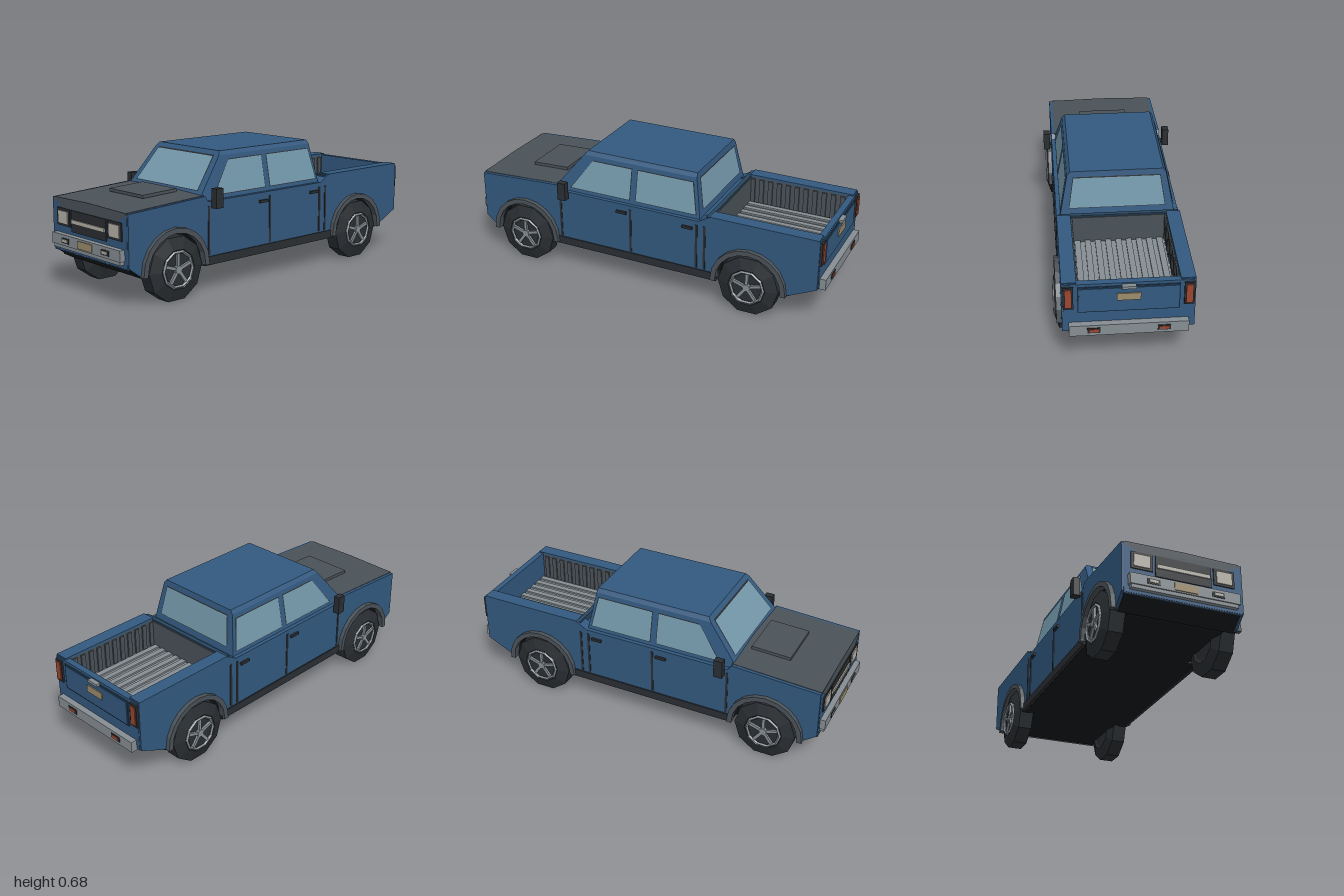
import * as THREE from 'three';

const BLUE = 0x33597f, DARKBLUE = 0x29455f, GREY = 0x4a5258, DARK = 0x2a2e32, BLACK = 0x17191b;
const METAL = 0x868e93, GLASS = 0x7499ab, LAMP = 0xb5b2a8, TAN = 0x9c8c6c, RED = 0x9c4630;
const AXLES = [0.695, -0.605], AXLE_Y = 0.155;

export function createModel() {
  const model = new THREE.Group();
  const mats = {};
  const mat = (color) => (mats[color] ??= new THREE.MeshStandardMaterial({ color, flatShading: true, side: THREE.DoubleSide }));
  const add = (name, color, geo, parent = model) => {
    const mesh = new THREE.Mesh(geo, mat(color));
    mesh.name = name;
    parent.add(mesh);
    return mesh;
  };

  // Box given by its extents; pair() places one on each side
  const box = (name, color, x0, x1, y0, y1, z0, z1) => {
    const g = new THREE.BoxGeometry(x1 - x0, y1 - y0, z1 - z0);
    g.translate((x0 + x1) / 2, (y0 + y1) / 2, (z0 + z1) / 2);
    return add(name, color, g);
  };
  const pair = (name, color, x0, x1, ...rest) => {
    box(name + 'Left', color, x0, x1, ...rest);
    box(name + 'Right', color, -x1, -x0, ...rest);
  };

  // Side profile (z, y) extruded across x
  const across = (shape, x0, x1) => {
    const g = new THREE.ExtrudeGeometry(shape, { depth: x1 - x0, bevelEnabled: false, curveSegments: 5 });
    return g.rotateY(-Math.PI / 2).translate(x1, 0, 0);
  };
  const acrossPair = (name, color, shape, x0, x1) => {
    add(name + 'Left', color, across(shape, x0, x1));
    add(name + 'Right', color, across(shape, -x1, -x0));
  };
  const poly = (pts) => new THREE.Shape(pts.map((p) => new THREE.Vector2(...p)));

  // Solid through matching cross-section loops, with end caps
  const loft = (loops) => {
    const n = loops[0].length, idx = [], last = (loops.length - 1) * n;
    for (let k = 0; k < last; k += n) {
      for (let i = 0; i < n; i++) {
        const j = (i + 1) % n;
        idx.push(k + i, k + j, k + n + j, k + i, k + n + j, k + n + i);
      }
    }
    for (let i = 1; i < n - 1; i++) idx.push(0, i + 1, i, last, last + i, last + i + 1);
    const g = new THREE.BufferGeometry();
    g.setAttribute('position', new THREE.Float32BufferAttribute(loops.flat(2), 3));
    g.setIndex(idx);
    const flat = g.toNonIndexed();
    flat.computeVertexNormals();
    return flat;
  };

  // Body sides with wheel openings
  const side = new THREE.Shape();
  side.moveTo(0.965, 0.455);
  [[0.5, 0.48], [0.48, 0.452], [-0.325, 0.452], [-0.38, 0.485], [-0.96, 0.485], [-0.96, 0.22], [-0.795, 0.14]]
    .forEach((p) => side.lineTo(...p));
  for (const z of [...AXLES].reverse()) {
    side.lineTo(z - 0.19, AXLE_Y);
    side.absarc(z, AXLE_Y, 0.19, Math.PI, 0, true);
    side.lineTo(z + 0.19, 0.14);
  }
  side.lineTo(0.965, 0.2);
  acrossPair('bodySide', BLUE, side, 0.245, 0.31);

  // Chassis core and black underside
  add('chassisCore', BLACK, across(poly([[0.95, 0.44], [-0.37, 0.44], [-0.37, 0.32], [-0.95, 0.32],
    [-0.95, 0.22], [-0.78, 0.135], [0.865, 0.135], [0.95, 0.19]]), -0.245, 0.245));
  add('frontValance', BLACK, across(poly([[0.967, 0.195], [0.88, 0.195], [0.88, 0.135]]), -0.295, 0.295));
  add('rearUnderside', BLACK, across(poly([[-0.955, 0.225], [-0.8, 0.225], [-0.8, 0.135]]), -0.3, 0.3));
  box('floorPan', BLACK, -0.3, 0.3, 0.133, 0.15, -0.415, 0.505);
  pair('sideSkirt', DARK, 0.27, 0.316, 0.135, 0.178, -0.43, 0.51);

  // Wheel arches: dark liner inside, flare outside
  const arch = (z, r0, r1) => {
    const s = new THREE.Shape();
    s.moveTo(z + r1, 0.145);
    s.lineTo(z + r1, AXLE_Y);
    s.absarc(z, AXLE_Y, r1, 0, Math.PI, false);
    s.lineTo(z - r1, 0.145);
    s.lineTo(z - r0, 0.145);
    s.lineTo(z - r0, AXLE_Y);
    s.absarc(z, AXLE_Y, r0, Math.PI, 0, true);
    s.lineTo(z + r0, 0.145);
    return s;
  };
  for (const z of AXLES) {
    acrossPair('wheelLiner', BLACK, arch(z, 0.178, 0.191), 0.245, 0.308);
    acrossPair('archFlare', GREY, arch(z, 0.176, 0.202), 0.3, 0.333);
  }

  // Cab shell: belt, shoulder and roof loops
  const sideX = (y) => 0.291 - (y - 0.45) * 0.195;
  const frontZ = (y) => 0.528 - (y - 0.45) * 0.815;
  const rearZ = (y) => -0.325 + (y - 0.45) * 0.176;
  const ring = (y, x) => [[x, y, frontZ(y)], [x, y, rearZ(y)], [-x, y, rearZ(y)], [-x, y, frontZ(y)]];
  add('cab', BLUE, loft([ring(0.445, 0.291), ring(0.66, sideX(0.66)), ring(0.68, 0.235)]));

  // Windows as thin panes lying on the cab faces
  const pane = (name, color, pts) => {
    const g = new THREE.BufferGeometry();
    g.setAttribute('position', new THREE.Float32BufferAttribute(pts.flat(), 3));
    g.setIndex([0, 1, 2, 0, 2, 3]);
    g.computeVertexNormals();
    add(name, color, g);
  };
  const endPane = (name, color, zAt, off, y0, y1, w0, w1) =>
    pane(name, color, [[-w0, y0, zAt(y0) + off], [w0, y0, zAt(y0) + off], [w1, y1, zAt(y1) + off], [-w1, y1, zAt(y1) + off]]);
  endPane('windshieldSeal', DARK, frontZ, 0.003, 0.497, 0.66, 0.246, 0.219);
  endPane('windshield', GLASS, frontZ, 0.006, 0.501, 0.654, 0.242, 0.215);
  endPane('rearWindowSeal', DARK, rearZ, -0.003, 0.487, 0.652, 0.246, 0.222);
  endPane('rearWindow', GLASS, rearZ, -0.005, 0.491, 0.647, 0.242, 0.218);
  for (const s of [1, -1]) {
    const sidePane = (name, color, off, y0, y1, a, b, c, d) => {
      const p = (y, z) => [s * (sideX(y) + off), y, z];
      const pts = [p(y0, a), p(y0, b), p(y1, c), p(y1, d)];
      pane(name, color, s > 0 ? pts : pts.reverse());
    };
    sidePane('frontWindowSeal', DARK, 0.002, 0.471, 0.639, 0.428, 0.071, 0.071, 0.299);
    sidePane('frontWindow', GLASS, 0.004, 0.475, 0.635, 0.42, 0.075, 0.075, 0.303);
    sidePane('rearSideWindowSeal', DARK, 0.002, 0.471, 0.639, 0.041, -0.306, -0.275, 0.041);
    sidePane('rearSideWindow', GLASS, 0.004, 0.475, 0.635, 0.037, -0.301, -0.27, 0.037);
  }

  // Hood with a slight centre crease, and raised scoop
  const hoodSection = (z, ySide, yMid) => [[-0.293, 0.435, z], [0.293, 0.435, z], [0.293, ySide, z], [0, yMid, z], [-0.293, ySide, z]];
  add('hood', GREY, loft([hoodSection(0.495, 0.482, 0.489), hoodSection(0.966, 0.458, 0.464)]));
  const scoop = box('hoodScoop', GREY, -0.135, 0.135, -0.008, 0.008, -0.105, 0.105);
  scoop.position.set(0, 0.489, 0.64);
  scoop.rotation.x = 0.04;

  // Front face, grille and lamps
  box('frontPanel', BLUE, -0.3, 0.3, 0.19, 0.45, 0.88, 0.966);
  pane('hoodLip', GREY, [[-0.235, 0.41, 0.968], [0.235, 0.41, 0.968], [0.293, 0.458, 0.968], [-0.293, 0.458, 0.968]]);
  box('grille', DARK, -0.143, 0.143, 0.302, 0.41, 0.95, 0.972);
  box('grilleBar', LAMP, -0.136, 0.136, 0.345, 0.365, 0.96, 0.978);
  pair('headlightHousing', DARK, 0.156, 0.265, 0.322, 0.41, 0.95, 0.972);
  pair('headlight', LAMP, 0.17, 0.252, 0.333, 0.397, 0.96, 0.977);
  box('frontBumper', METAL, -0.28, 0.28, 0.23, 0.285, 0.95, 0.994);
  box('frontBumperLip', METAL, -0.273, 0.273, 0.212, 0.232, 0.95, 0.988);
  box('frontPlate', TAN, -0.06, 0.06, 0.237, 0.275, 0.98, 0.998);
  pair('fogLampHousing', DARK, 0.133, 0.195, 0.243, 0.27, 0.98, 0.997);
  pair('fogLamp', LAMP, 0.143, 0.186, 0.25, 0.263, 0.98, 1.0);

  // Doors: seams and handles, then mirrors
  for (const z of [0.478, 0.06, -0.315, -0.36]) pair('doorSeam', DARK, 0.3, 0.313, 0.185, 0.43, z - 0.006, z + 0.006);
  for (const z of [0.11, -0.265]) pair('doorHandle', DARK, 0.3, 0.321, 0.4, 0.414, z - 0.029, z + 0.029);
  pair('mirrorArm', DARK, 0.28, 0.325, 0.425, 0.445, 0.435, 0.46);
  pair('mirror', DARK, 0.32, 0.355, 0.42, 0.518, 0.422, 0.468);

  // Cargo bed: floor with ridges, ribbed walls, bulkhead
  box('bedFloor', METAL, -0.246, 0.246, 0.315, 0.33, -0.94, -0.37);
  for (let i = 0; i < 9; i++) {
    const x = -0.208 + i * 0.052;
    box('bedRidge', METAL, x - 0.015, x + 0.015, 0.328, 0.339, -0.93, -0.39);
  }
  pair('bedWall', GREY, 0.24, 0.247, 0.33, 0.478, -0.93, -0.38);
  for (let i = 0; i < 11; i++) pair('bedRib', GREY, 0.232, 0.242, 0.33, 0.47, -0.915 + i * 0.05, -0.89 + i * 0.05);
  box('cabBackSill', BLUE, -0.25, 0.25, 0.32, 0.452, -0.375, -0.3);
  box('bulkhead', DARKBLUE, -0.3, 0.3, 0.32, 0.484, -0.388, -0.365);
  box('bulkheadLiner', GREY, -0.24, 0.24, 0.33, 0.475, -0.393, -0.386);
  pair('bedRail', BLUE, 0.24, 0.31, 0.478, 0.49, -0.955, -0.385);

  // Tailgate, lamps and rear bumper
  box('tailgate', BLUE, -0.3, 0.3, 0.22, 0.483, -0.962, -0.93);
  box('tailgateFrame', DARKBLUE, -0.237, 0.237, 0.328, 0.468, -0.967, -0.95);
  box('tailgatePanel', BLUE, -0.23, 0.23, 0.335, 0.461, -0.971, -0.95);
  box('tailgateHandle', METAL, -0.033, 0.033, 0.462, 0.476, -0.985, -0.95);
  box('rearPlate', TAN, -0.055, 0.055, 0.395, 0.433, -0.977, -0.96);
  pair('tailLightHousing', DARK, 0.256, 0.304, 0.352, 0.474, -0.972, -0.94);
  pair('tailLight', RED, 0.264, 0.296, 0.362, 0.464, -0.977, -0.95);
  box('rearBumper', METAL, -0.28, 0.28, 0.212, 0.27, -0.994, -0.94);
  pair('reflectorHousing', DARK, 0.133, 0.195, 0.228, 0.256, -0.997, -0.98);
  pair('reflector', RED, 0.142, 0.186, 0.234, 0.25, -1.0, -0.98);

  // Wheels: ten-sided tyre, rim ring, five spokes, hub
  const tyre = new THREE.LatheGeometry([[0, -0.05], [0.085, -0.05], [0.1, -0.057], [0.163, -0.037], [0.163, 0.037],
    [0.1, 0.057], [0.09, 0.045], [0, 0.045]].map((p) => new THREE.Vector2(...p)), 10).rotateZ(-Math.PI / 2);
  const rim = new THREE.TorusGeometry(0.088, 0.008, 4, 10).rotateY(Math.PI / 2);
  const hub = new THREE.CylinderGeometry(0.02, 0.022, 0.02, 10).rotateZ(-Math.PI / 2);
  for (const z of AXLES) {
    for (const s of [1, -1]) {
      const wheel = new THREE.Group();
      wheel.name = (z > 0 ? 'front' : 'rear') + 'Wheel' + (s > 0 ? 'Left' : 'Right');
      add('tyre', DARK, tyre, wheel);
      add('rim', METAL, rim, wheel).position.x = 0.055;
      add('hub', METAL, hub, wheel).position.x = 0.051;
      for (let i = 0; i < 5; i++) {
        const spoke = new THREE.BoxGeometry(0.012, 0.075, 0.016).translate(0.052, 0.049, 0);
        add('spoke', METAL, spoke.rotateX((i * Math.PI * 2) / 5), wheel);
      }
      wheel.position.set(s * 0.2825, AXLE_Y, z);
      if (s < 0) wheel.rotation.y = Math.PI;
      model.add(wheel);
    }
  }
  return model;
}
